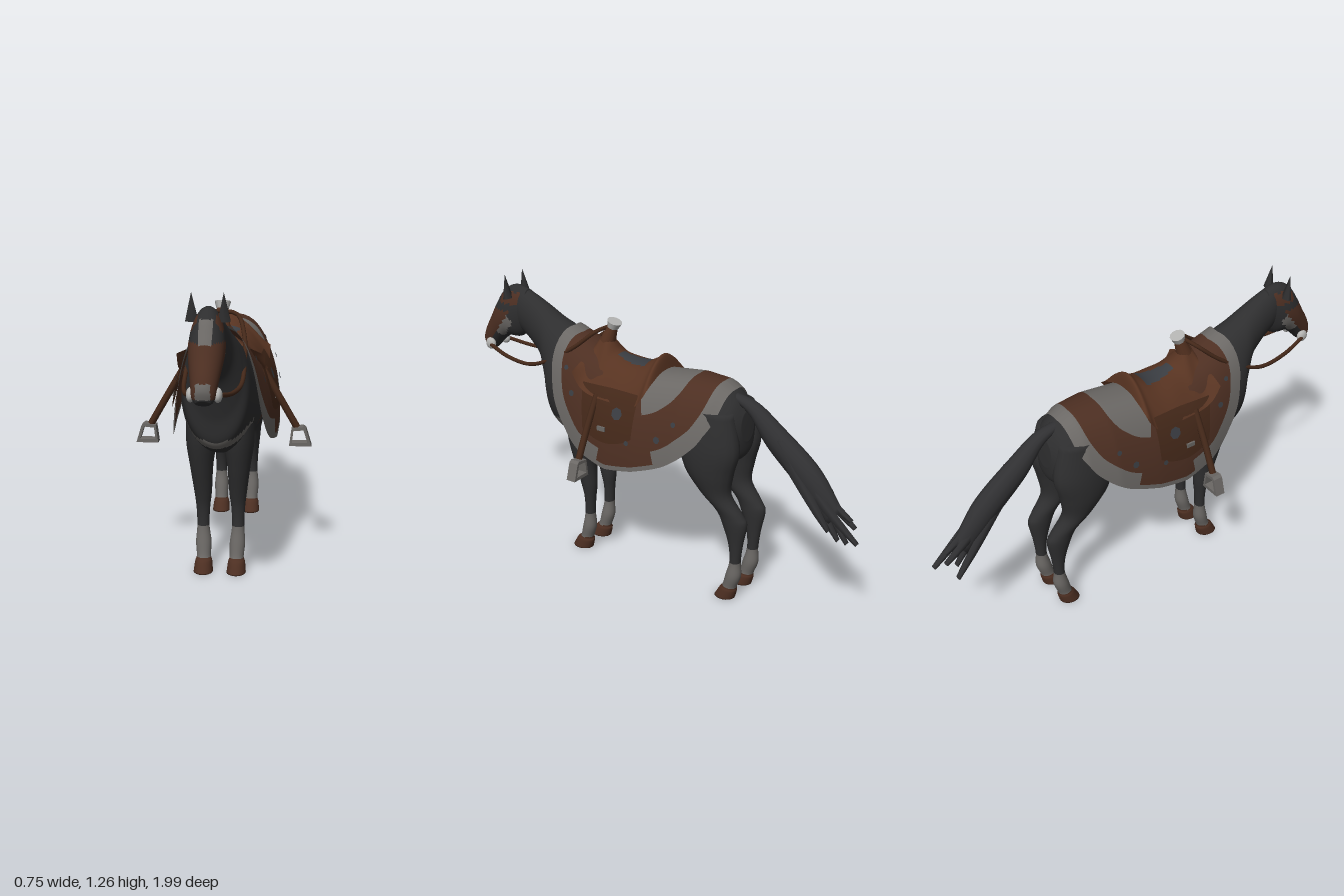
import * as THREE from 'three';
import { mergeVertices } from 'three/addons/utils/BufferGeometryUtils.js';

const material = (name, color) => Object.assign(new THREE.MeshStandardMaterial({ color, side: THREE.DoubleSide }), { name });
const MATS = [
  material('coat', 0x2e2e2f), material('blanketBrown', 0x4d2f22), material('blanketGrey', 0x6b6865),
  material('saddleLeather', 0x573321), material('strapLeather', 0x442819), material('metal', 0xb4b4b2),
  material('slate', 0x3a3d42), material('tailHair', 0x303032),
];
const [COAT, BROWN, GREY, LEATHER, STRAP, METAL, SLATE, HAIR] = MATS.keys();

// Smooth surface from fn(u, v); paint(point, u, v) picks the material of each cell
function grid(name, nu, nv, fn, paint) {
  const pos = [], cells = MATS.map(() => []);
  for (let i = 0; i <= nu; i++) for (let j = 0; j <= nv; j++) pos.push(...fn(i / nu, j / nv));
  const at = k => new THREE.Vector3().fromArray(pos, k * 3);
  for (let i = 0; i < nu; i++) for (let j = 0; j < nv; j++) {
    const a = i * (nv + 1) + j, b = a + nv + 1;
    const mid = at(a).add(at(b)).add(at(a + 1)).add(at(b + 1)).divideScalar(4);
    cells[paint(mid, (i + 0.5) / nu, (j + 0.5) / nv)].push(a, b, a + 1, b, b + 1, a + 1);
  }
  let geo = new THREE.BufferGeometry();
  geo.setAttribute('position', new THREE.Float32BufferAttribute(pos, 3));
  geo.setIndex(cells.flat());
  let start = 0;
  cells.forEach((c, m) => { if (c.length) geo.addGroup(start, c.length, m); start += c.length; });
  geo = mergeVertices(geo);
  geo.computeVertexNormals();
  const mesh = new THREE.Mesh(geo, MATS);
  mesh.name = name;
  return mesh;
}

// Smooth interpolation through table rows
function rowAt(rows, t) {
  const f = t * (rows.length - 1), i = Math.min(Math.floor(f), rows.length - 2), k = f - i;
  const r = n => rows[Math.max(0, Math.min(rows.length - 1, n))];
  return rows[0].map((_, c) => {
    const p0 = r(i - 1)[c], p1 = r(i)[c], p2 = r(i + 1)[c], p3 = r(i + 2)[c];
    return p1 + 0.5 * k * (p2 - p0 + k * (2 * p0 - 5 * p1 + 4 * p2 - p3 + k * (3 * (p1 - p2) + p3 - p0)));
  });
}

// Closed loft of elliptical sections [topZ, topY, bottomZ, bottomY, halfWidth, centreX]
function loft(name, rows, nu, nv, paint) {
  return grid(name, nu, nv, (u, v) => {
    const [zt, yt, zb, yb, w, cx = 0] = rowAt(rows, Math.max(0, Math.min(1, (u * nu - 1) / (nu - 2))));
    const end = u === 0 || u === 1 ? 0 : 1, c = Math.cos(v * 2 * Math.PI) * end, s = Math.sin(v * 2 * Math.PI) * end;
    return [cx + w * s, (yt + yb) / 2 + c * (yt - yb) / 2, (zt + zb) / 2 + c * (zt - zb) / 2];
  }, paint);
}

// Blanket surface: spine height and half width along z, with an arched section
const SPINE = [[0.52, 1.1, 0.165], [0.42, 1.058, 0.18], [0.3, 1.003, 0.205], [0.15, 0.962, 0.225], [0, 0.965, 0.23],
  [-0.2, 0.99, 0.222], [-0.33, 0.985, 0.2], [-0.42, 0.94, 0.165]];
function spine(z) {
  let i = 0;
  while (i < SPINE.length - 2 && z < SPINE[i + 1][0]) i++;
  const [a, b] = [SPINE[i], SPINE[i + 1]], k = (a[0] - z) / (a[0] - b[0]);
  return [a[1] + k * (b[1] - a[1]), a[2] + k * (b[2] - a[2])];
}
const DROP = 0.44;
const angleAt = (z, y) => Math.acos(Math.max(-0.1, Math.min(1, 1 - (spine(z)[0] - y) / DROP)));
const arch = (z, a) => [spine(z)[1] * Math.pow(Math.max(0, Math.sin(a)), 0.8), spine(z)[0] - DROP * (1 - Math.cos(a)), z];
const sideX = (z, y) => arch(z, angleAt(z, y))[0];

function blanketHalf() {
  const edge = [[0.46, 1.2], [0.49, 0.98], [0.485, 0.88], [0.46, 0.76], [0.4, 0.66], [0.32, 0.58], [0.17, 0.535], [0, 0.56],
    [-0.17, 0.63], [-0.27, 0.71], [-0.33, 0.79], [-0.37, 0.88], [-0.385, 1.2]].map(([z, y]) => [z, angleAt(z, y)]);
  return grid('blanket', 72, 32, (u, s) => {
    const [z, a] = rowAt(edge, u);
    return arch(0.06 + (z - 0.06) * s, Math.max(0, a * s));
  }, (p, u, s) => {
    const border = u > 0.48 && u < 0.64 ? 0.96 : 0.86;
    if (s > border) return GREY;
    return u > 0.63 && s < 0.6 ? GREY : BROWN;
  });
}

const tube = (name, pts, r, m) => {
  const curve = new THREE.CatmullRomCurve3(pts.map(p => new THREE.Vector3(...p)));
  return Object.assign(new THREE.Mesh(new THREE.TubeGeometry(curve, 32, r, 8), MATS[m]), { name });
};
const solid = (name, geo, m, x, y, z) => {
  const mesh = new THREE.Mesh(geo, MATS[m]);
  mesh.name = name;
  mesh.position.set(x, y, z);
  return mesh;
};
const legPaint = p => (p.y < 0.06 ? BROWN : p.y < 0.19 ? GREY : COAT);

// Everything that repeats on both sides, made for +x
function sideParts() {
  const g = new THREE.Group();
  g.add(loft('frontLeg', [[0.46, 0.7, 0.26, 0.7, 0.055, 0.085], [0.45, 0.58, 0.27, 0.56, 0.062, 0.08],
    [0.42, 0.46, 0.305, 0.45, 0.048, 0.078], [0.385, 0.34, 0.31, 0.34, 0.037, 0.074], [0.37, 0.27, 0.318, 0.27, 0.029, 0.074],
    [0.37, 0.19, 0.322, 0.19, 0.026, 0.074], [0.385, 0.12, 0.32, 0.12, 0.033, 0.072], [0.4, 0.065, 0.338, 0.06, 0.03, 0.07],
    [0.42, 0.045, 0.335, 0.04, 0.036, 0.07], [0.445, 0.001, 0.345, 0.001, 0.041, 0.07]], 60, 18, legPaint));
  g.add(loft('hindLeg', [[-0.22, 0.88, -0.42, 0.88, 0.06, 0.085], [-0.17, 0.74, -0.455, 0.72, 0.08, 0.088],
    [-0.19, 0.62, -0.43, 0.6, 0.075, 0.09], [-0.27, 0.51, -0.42, 0.5, 0.055, 0.085], [-0.35, 0.43, -0.48, 0.42, 0.04, 0.08],
    [-0.385, 0.36, -0.5, 0.38, 0.036, 0.078], [-0.415, 0.27, -0.482, 0.28, 0.028, 0.076], [-0.422, 0.19, -0.472, 0.19, 0.026, 0.075],
    [-0.405, 0.12, -0.475, 0.12, 0.033, 0.074], [-0.39, 0.065, -0.455, 0.06, 0.03, 0.073], [-0.375, 0.045, -0.455, 0.04, 0.036, 0.072],
    [-0.35, 0.001, -0.445, 0.001, 0.041, 0.072]], 60, 18, legPaint));

  const ear = solid('ear', new THREE.ConeGeometry(0.027, 0.11, 6), COAT, 0.06, 1.205, 0.81);
  ear.scale.z = 0.7;
  ear.rotation.x = 0.12;
  g.add(ear, blanketHalf());

  // Fender hanging over the blanket
  g.add(grid('fender', 12, 12, (u, v) => {
    const z = 0.3 - 0.3 * u - 0.03 * v * (1 - u);
    const y = 0.89 - v * (0.23 - 0.05 * Math.pow(Math.abs(u - 0.45) * 1.8, 2));
    return [sideX(z, y) + 0.012, y, z];
  }, () => STRAP));
  // Flecks in the cloth and leather
  for (const [z, y, r] of [[0.09, 0.8, 0.028], [0.35, 0.83, 0.014], [0.4, 0.93, 0.012], [-0.13, 0.74, 0.016], [-0.2, 0.82, 0.012], [0.02, 0.69, 0.012]]) {
    const fleck = solid('fleck', new THREE.CircleGeometry(r, 7).rotateY(Math.PI / 2), SLATE, sideX(z, y) + 0.015, y, z);
    fleck.rotation.z = Math.atan((sideX(z, y - 0.01) - sideX(z, y + 0.01)) / 0.02);
    g.add(fleck);
  }
  g.add(solid('buckle', new THREE.BoxGeometry(0.008, 0.02, 0.04), GREY, sideX(0.16, 0.72) + 0.016, 0.72, 0.16));

  // Stirrup on its strap
  g.add(tube('stirrupStrap', [[0.165, 0.85, 0.22], [0.235, 0.73, 0.22], [0.312, 0.595, 0.215]], 0.015, STRAP));
  const shape = new THREE.Shape([[0.29, 0.592], [0.34, 0.6], [0.352, 0.59], [0.375, 0.515], [0.28, 0.515]].map(p => new THREE.Vector2(...p)));
  shape.holes.push(new THREE.Path([[0.298, 0.581], [0.292, 0.53], [0.358, 0.53], [0.341, 0.585]].map(p => new THREE.Vector2(...p))));
  g.add(solid('stirrup', new THREE.ExtrudeGeometry(shape, { depth: 0.045, bevelEnabled: false }), GREY, 0, 0, 0.19));

  // Bit and rein
  const bit = solid('bitRing', new THREE.SphereGeometry(0.028, 14, 10), METAL, 0.05, 0.903, 0.935);
  bit.scale.x = 0.6;
  g.add(bit, tube('rein', [[0.06, 0.9, 0.925], [0.09, 0.878, 0.8], [0.112, 0.88, 0.64], [0.112, 0.94, 0.5], [0.1, 1.02, 0.38],
    [0.065, 1.09, 0.3], [0, 1.1, 0.28]], 0.009, STRAP));
  return g;
}

export function createModel() {
  const model = new THREE.Group();
  model.name = 'saddledHorse';

  // Torso and neck, with girth and breast strap painted on
  model.add(loft('body', [[-0.44, 0.87, -0.45, 0.74, 0.05], [-0.4, 0.93, -0.43, 0.66, 0.115], [-0.33, 0.97, -0.33, 0.61, 0.155],
    [-0.2, 0.972, -0.17, 0.615, 0.178], [0, 0.948, 0, 0.565, 0.185], [0.15, 0.942, 0.17, 0.52, 0.182], [0.3, 0.985, 0.32, 0.51, 0.168],
    [0.42, 1.04, 0.45, 0.545, 0.148], [0.5, 1.075, 0.55, 0.6, 0.134], [0.56, 1.1, 0.575, 0.72, 0.11], [0.62, 1.135, 0.62, 0.86, 0.08],
    [0.69, 1.17, 0.68, 0.93, 0.065], [0.76, 1.195, 0.73, 0.97, 0.057], [0.8, 1.19, 0.78, 1.0, 0.05]], 130, 64, p => {
    if (p.z > 0.4 && Math.abs(p.y - 0.6 - 3 * p.x * p.x) < 0.017) return GREY;
    return p.y < 0.75 && Math.abs(p.z - 0.22) < 0.03 ? BROWN : COAT;
  }));

  // Head with blaze, cheek patch and face colours
  model.add(loft('head', [[0.73, 1.19, 0.71, 1.03, 0.045], [0.8, 1.203, 0.755, 0.975, 0.06], [0.86, 1.175, 0.79, 0.955, 0.068],
    [0.905, 1.11, 0.845, 0.95, 0.066], [0.945, 1.04, 0.89, 0.92, 0.057], [0.983, 0.975, 0.925, 0.885, 0.048],
    [0.998, 0.93, 0.945, 0.867, 0.042], [0.99, 0.89, 0.965, 0.868, 0.028]], 64, 48, ({ x, y, z }) => {
    const ax = Math.abs(x), along = (z - 0.8) * 0.66 - (y - 1.05) * 0.75, across = (z - 0.8) * 0.75 + (y - 1.05) * 0.66;
    if (ax < 0.026 && y > 1.08 && y < 1.165 && z > 0.86) return GREY;
    if (ax < 0.028 && y > 0.895 && y < 0.955 && z > 0.955) return GREY;
    if (ax > 0.03 && along > 0 && along < 0.12 && Math.abs(across) < 0.02) return GREY;
    if (y > 0.895 && y < 1.085 && across > 0.02) return BROWN;
    return ax > 0.03 && y > 1.12 && y < 1.175 && z > 0.75 && z < 0.86 ? BROWN : COAT;
  }));

  // Tail with loose strands
  model.add(loft('tail', [[-0.9, 0.54, -0.84, 0.46, 0.03], [-0.78, 0.7, -0.72, 0.585, 0.05], [-0.6, 0.84, -0.55, 0.74, 0.046],
    [-0.48, 0.92, -0.46, 0.86, 0.034], [-0.36, 0.945, -0.37, 0.915, 0.022]], 24, 12, () => HAIR));
  for (const [x, z, y] of [[-0.035, -0.92, 0.37], [0.01, -0.9, 0.4], [0.045, -0.87, 0.45], [-0.02, -0.96, 0.46], [0.03, -0.995, 0.42], [0, -0.95, 0.5]])
    model.add(loft('tailStrand', [[z, y + 0.012, z + 0.01, y, 0.013, x], [z * 0.5 - 0.36, y * 0.5 + 0.36, z * 0.5 - 0.33, y * 0.5 + 0.32, 0.018, x],
      [-0.62, 0.81, -0.58, 0.76, 0.012, x * 0.7]], 12, 6, () => HAIR));

  // Saddle rows: z, top height, skirt height, arch exponent
  const saddle = [[0.345, 0.985, 0.93, 1.6], [0.31, 1.06, 0.875, 1], [0.27, 1.08, 0.85, 1], [0.22, 1.005, 0.84, 1.8], [0.14, 0.98, 0.835, 2.5],
    [0.07, 0.985, 0.83, 2.4], [0.01, 1.015, 0.845, 1.9], [-0.02, 1.035, 0.88, 1.7], [-0.035, 0.97, 0.9, 1.7]];
  model.add(grid('saddle', 40, 40, (u, v) => {
    const [z, top, low, p] = rowAt(saddle, 1 - u), x = v * 2 - 1;
    return [0.182 * x, top - (top - low) * Math.pow(Math.abs(x), p), z];
  }, p => (p.z > 0.05 && p.z < 0.2 && Math.abs(p.x) < 0.055 - (p.z - 0.05) * 0.2 ? SLATE : LEATHER)));

  // Horn
  const neck = solid('hornNeck', new THREE.CylinderGeometry(0.022, 0.035, 0.09, 12), LEATHER, 0, 1.075, 0.265);
  neck.rotation.x = -0.35;
  const cap = solid('hornCap', new THREE.CylinderGeometry(0.034, 0.026, 0.03, 12), METAL, 0, 1.118, 0.247);
  cap.rotation.x = -0.35;
  model.add(neck, cap);

  for (const s of [1, -1]) {
    const g = sideParts();
    g.name = s > 0 ? 'leftSide' : 'rightSide';
    g.scale.x = s;
    model.add(g);
  }
  return model;
}
